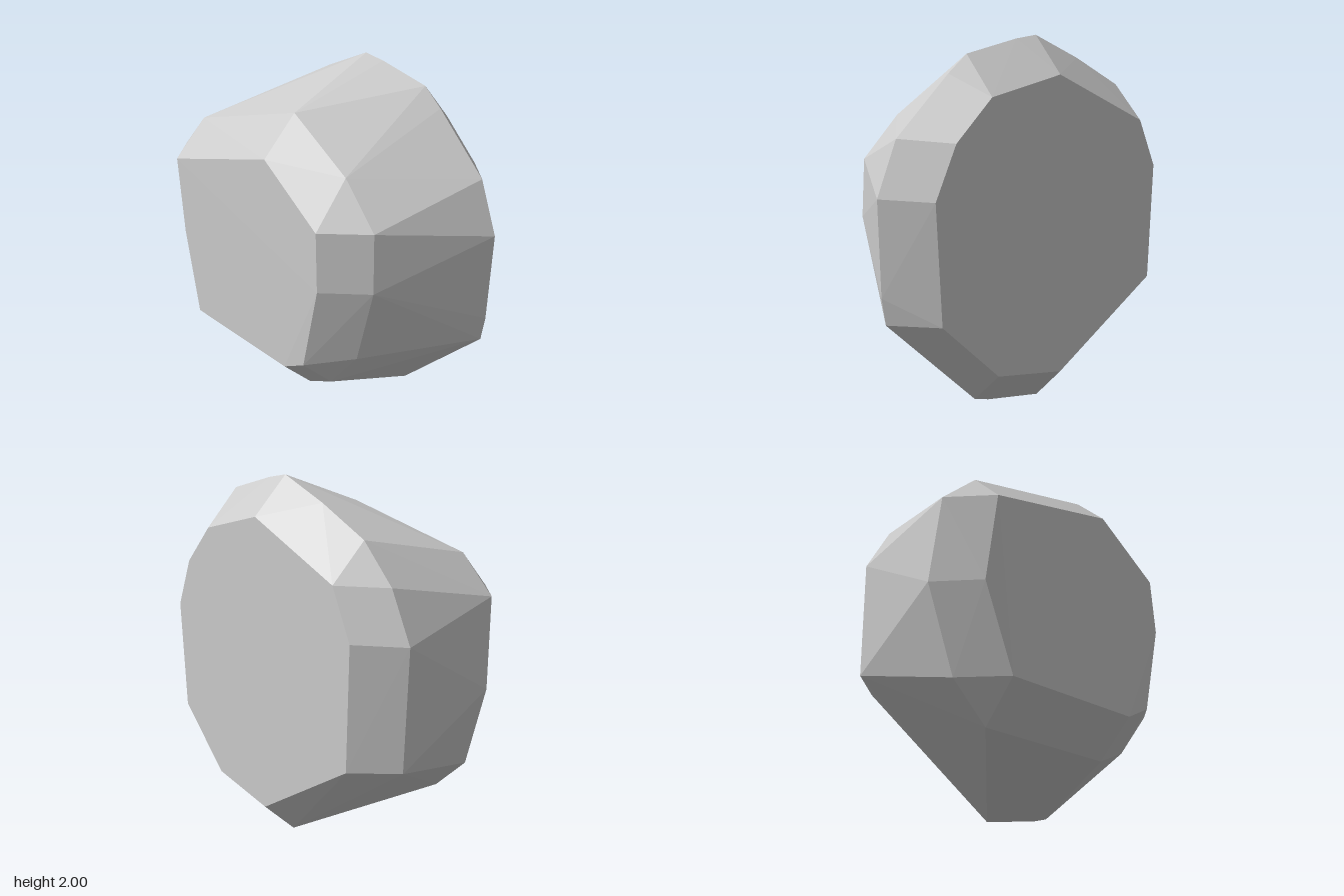
import * as THREE from 'three';
import { ConvexGeometry } from 'three/addons/geometries/ConvexGeometry.js';

// Outlines from back to front, each corner [x, y, z]
const backFace = [
  [0.40, 1.70], [-0.03, 1.80], [-0.62, 1.54], [-0.74, 1.28], [-0.72, 0.63],
  [-0.06, 0.20], [0.36, 0.27], [0.70, 0.60], [0.73, 1.22], [0.61, 1.49],
].map(([x, y]) => [x, y, -0.52]);

const widestRing = [
  [-0.03, 2.0], [0.10, 1.98], [0.41, 1.905], [0.52, 1.81], [0.82, 1.51],
  [0.93, 1.23], [0.92, 0.74], [0.90, 0.60], [0.37, 0.08], [0.28, 0.055],
  [-0.06, 0.0], [-0.91, 0.63], [-0.935, 1.27], [-0.81, 1.53], [-0.62, 1.73],
  [-0.32, 1.88],
].map(([x, y]) => [x, y, -0.32]);

const frontRing = [
  [-0.89, 1.41, 0.32], [-0.69, 1.61, 0.32], [0.09, 1.815, 0.295], [0.46, 1.57, 0.285],
  [0.67, 1.34, 0.29], [0.685, 1.02, 0.30], [0.57, 0.58, 0.295], [0.37, 0.33, 0.295],
  [0.20, 0.25, 0.305], [-0.575, 0.26, 0.315], [-0.775, 0.46, 0.315], [-0.92, 0.93, 0.28],
];

const frontFace = [
  [-0.69, 1.41, 0.52], [0.09, 1.615, 0.495], [0.47, 1.34, 0.49], [0.485, 1.02, 0.497],
  [0.37, 0.53, 0.495], [0.22, 0.45, 0.503], [-0.575, 0.46, 0.515], [-0.725, 0.93, 0.48],
];

export function createModel() {
  const group = new THREE.Group();
  group.name = 'boulder';

  // Faceted stone wrapped around the four outlines
  const points = [...backFace, ...widestRing, ...frontRing, ...frontFace]
    .map((p) => new THREE.Vector3(...p));
  const rock = new THREE.Mesh(
    new ConvexGeometry(points),
    new THREE.MeshStandardMaterial({ color: 0xcccccc, flatShading: true }),
  );
  rock.name = 'rock';
  group.add(rock);
  return group;
}
